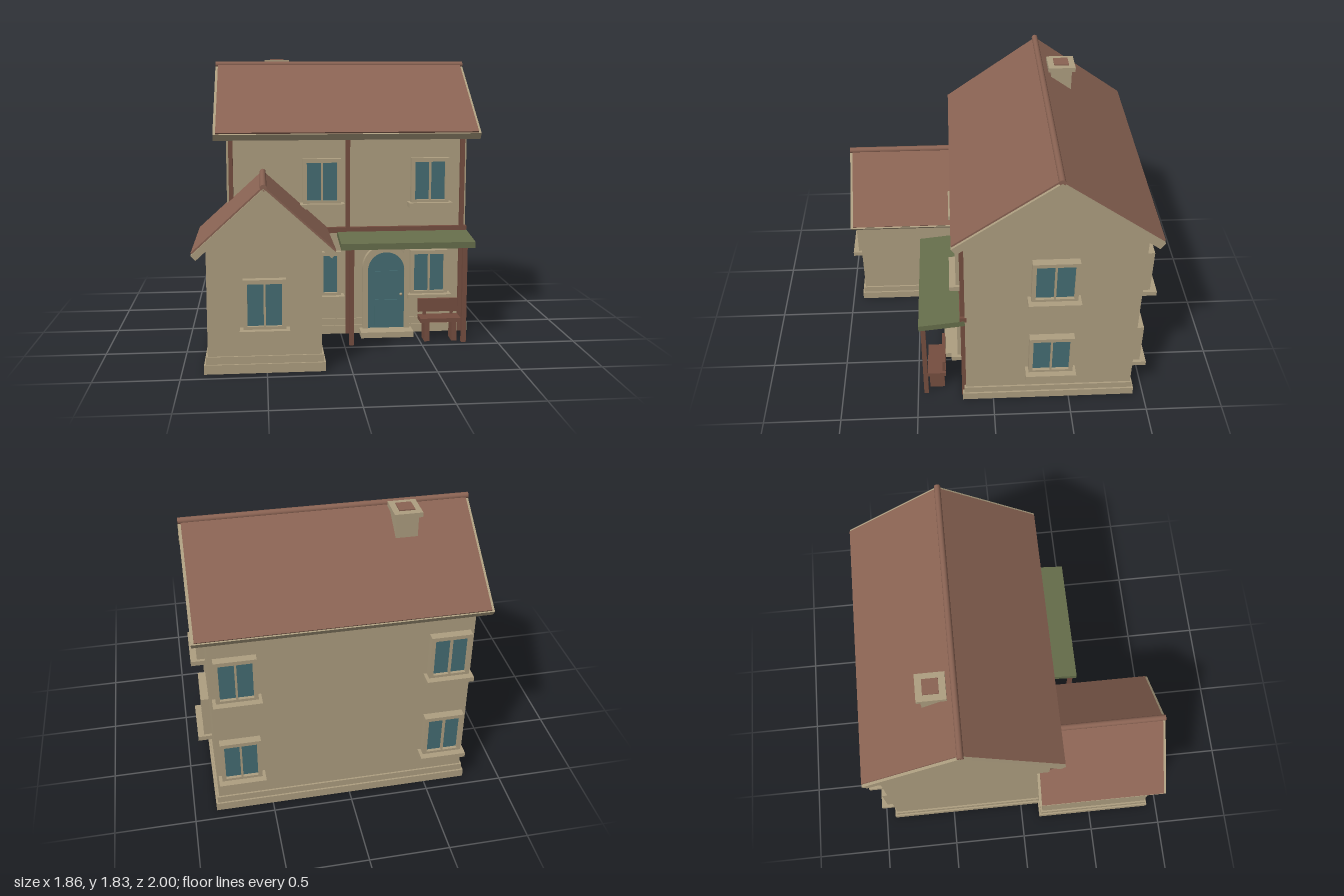
import * as THREE from 'three';

const material = (name, color) => Object.assign(new THREE.MeshStandardMaterial({ color }), { name });
const plaster = material('plaster', 0xad9e80);
const tile = material('roof tile', 0x8a6353);
const timber = material('timber', 0x754e40);
const teal = material('teal paint', 0x456d73);
const green = material('green canopy', 0x666e4b);

function add(parent, name, geometry, mat, x = 0, y = 0, z = 0) {
  const mesh = new THREE.Mesh(geometry, mat);
  mesh.name = name;
  mesh.position.set(x, y, z);
  parent.add(mesh);
  return mesh;
}

// Box given by its min and max on each axis
function box(parent, name, mat, [x0, x1], [y0, y1], [z0, z1]) {
  return add(parent, name, new THREE.BoxGeometry(x1 - x0, y1 - y0, z1 - z0), mat,
    (x0 + x1) / 2, (y0 + y1) / 2, (z0 + z1) / 2);
}

const polygon = pts => new THREE.Shape(pts.map(([x, y]) => new THREE.Vector2(x, y)));
const extrude = (shape, depth, curveSegments = 12) =>
  new THREE.ExtrudeGeometry(shape, { depth, bevelEnabled: false, curveSegments });

// Roof layer: inverted V with square-cut eaves
function chevron(half, apex, slope, thick, length) {
  const a = Math.atan(slope), d = thick * Math.cos(a);
  const y = apex - slope * half;
  const ix = half - d * Math.sin(a), iy = y - d * Math.cos(a);
  return extrude(polygon([[0, apex], [-half, y], [-ix, iy], [0, apex - thick], [ix, iy], [half, y]]), length)
    .translate(0, 0, -length / 2);
}

// Gabled block whose ridge runs along local z
function gabledBlock(name, o) {
  const g = new THREE.Group();
  g.name = name;
  const under = o.apex - o.thick;
  const eave = under - o.slope * o.half;
  add(g, 'walls', extrude(polygon([[-o.half, 0], [o.half, 0], [o.half, eave], [0, under], [-o.half, eave]]), o.length)
    .translate(0, 0, -o.length / 2), plaster);
  for (const [out, top] of [[0.022, 0.055], [0.011, 0.1]]) {
    box(g, 'plinth', plaster, [-o.half - out, o.half + out], [0, top], [-o.length / 2 - out, o.length / 2 + out]);
  }
  add(g, 'roofBoards', chevron(o.roofHalf, o.apex, o.slope, o.thick, o.roofLength), plaster);
  add(g, 'roofTiles', chevron(o.roofHalf, o.apex + 0.013, o.slope, 0.013, o.roofLength - 0.035), tile);
  const ridge = new THREE.CylinderGeometry(0.02, 0.02, o.roofLength, 12).rotateX(Math.PI / 2);
  add(g, 'ridgeCap', ridge, tile, 0, o.apex + 0.004, 0);
  return g;
}

// Two-pane window; origin at the bottom centre of the frame on the wall
function windowUnit(parent, name, x, y, z, turn = 0, width = 0.25) {
  const g = new THREE.Group();
  g.name = name;
  const w = width / 2, h = 0.293, b = 0.025, m = 0.006;
  const frame = polygon([[-w, 0], [w, 0], [w, h], [-w, h]]);
  for (const [l, r] of [[-w + b, -m], [m, w - b]]) {
    frame.holes.push(polygon([[l, b - 0.008], [l, h - b], [r, h - b], [r, b - 0.008]]));
  }
  add(g, 'windowFrame', extrude(frame, 0.05), plaster);
  box(g, 'windowGlass', teal, [-w + 0.01, w - 0.01], [0.01, h - 0.01], [0.022, 0.03]);
  box(g, 'windowSill', plaster, [-w - 0.02, w + 0.02], [-0.031, 0], [0, 0.09]);
  g.position.set(x, y, z);
  g.rotation.y = turn;
  parent.add(g);
}

// Doorway outline with a round head
function arch(r, bottom, spring) {
  const s = new THREE.Shape();
  s.moveTo(-r, bottom);
  s.lineTo(r, bottom);
  s.lineTo(r, spring);
  s.absarc(0, spring, r, 0, Math.PI, false);
  s.lineTo(-r, bottom);
  return s;
}

export function createModel() {
  const house = new THREE.Group();
  house.name = 'house';
  const low = 0.273, high = 0.892, wall = 0.18;

  // Main block and front wing
  const main = gabledBlock('mainBlock', {
    half: 0.545, length: 1.585, apex: 1.788, slope: 0.714, thick: 0.06, roofHalf: 0.617, roofLength: 1.75 });
  main.rotation.y = Math.PI / 2;
  main.position.set(0.047, 0, -0.365);
  const wing = gabledBlock('frontWing', {
    half: 0.335, length: 0.755, apex: 1.096, slope: 0.91, thick: 0.055, roofHalf: 0.418, roofLength: 0.855 });
  wing.position.set(-0.511, 0, 0.5275);
  house.add(main, wing);

  // Chimney with a hollow cap
  const chimney = new THREE.Group();
  chimney.name = 'chimney';
  house.add(chimney);
  box(chimney, 'chimneyStack', plaster, [-0.465, -0.33], [1.5, 1.795], [-0.567, -0.432]);
  box(chimney, 'chimneyCap', plaster, [-0.483, -0.313], [1.793, 1.823], [-0.588, -0.412]);
  box(chimney, 'chimneyFlue', tile, [-0.445, -0.35], [1.79, 1.83], [-0.548, -0.452]);

  // Windows
  for (const y of [low, high]) {
    for (const x of [-0.125, 0.59]) windowUnit(house, 'frontWindow', x, y, wall);
    for (const x of [-0.595, 0.687]) windowUnit(house, 'backWindow', x, y, -0.91, Math.PI);
    windowUnit(house, 'sideWindow', 0.84, y, -0.367, Math.PI / 2, 0.285);
  }
  windowUnit(house, 'wingWindow', -0.511, low, 0.905);

  // Timber framing on the front wall
  for (const x of [-0.717, 0.047, 0.81]) {
    box(house, 'wallPost', timber, [x - 0.014, x + 0.014], [0, 1.335], [0.17, 0.207]);
  }
  box(house, 'wallBeam', timber, [-0.5, 0.842], [0.69, 0.727], [0.17, 0.212]);

  // Arched door
  const door = new THREE.Group();
  door.name = 'frontDoor';
  door.position.set(0.302, 0, wall);
  house.add(door);
  const surround = arch(0.157, 0.03, 0.45);
  surround.holes.push(arch(0.122, 0.031, 0.435));
  add(door, 'doorSurround', extrude(surround, 0.045, 20), plaster);
  add(door, 'doorLeaf', extrude(arch(0.125, 0.04, 0.435), 0.04, 20), teal);
  for (const [y0, y1] of [[0.06, 0.235], [0.275, 0.43]]) {
    box(door, 'doorPanel', teal, [-0.075, 0.075], [y0, y1], [0.04, 0.049]);
  }
  add(door, 'doorKnob', new THREE.SphereGeometry(0.01, 12, 8), plaster, 0.1, 0.27, 0.048);
  box(door, 'doorStep', plaster, [-0.177, 0.173], [0, 0.037], [0, 0.14]);

  // Porch canopy on two posts
  const canopy = polygon([[0.18, 0.662], [0.47, 0.628], [0.47, 0.668], [0.18, 0.702]]);
  const roof = add(house, 'porchCanopy', extrude(canopy, 0.865), green, 0.843, 0, 0);
  roof.rotation.y = -Math.PI / 2;
  for (const x of [0.047, 0.78]) {
    box(house, 'porchPost', timber, [x - 0.015, x + 0.015], [0, 0.645], [0.43, 0.46]);
  }

  // Bench
  const bench = new THREE.Group();
  bench.name = 'bench';
  house.add(bench);
  box(bench, 'benchSeat', timber, [0.5, 0.765], [0.128, 0.155], [0.312, 0.43]);
  box(bench, 'benchBack', timber, [0.5, 0.765], [0.175, 0.262], [0.312, 0.332]);
  for (const x of [0.545, 0.725]) {
    box(bench, 'benchLeg', timber, [x - 0.017, x + 0.017], [0, 0.13], [0.322, 0.42]);
    box(bench, 'backSupport', timber, [x - 0.01, x + 0.01], [0.15, 0.18], [0.314, 0.328]);
  }
  return house;
}
